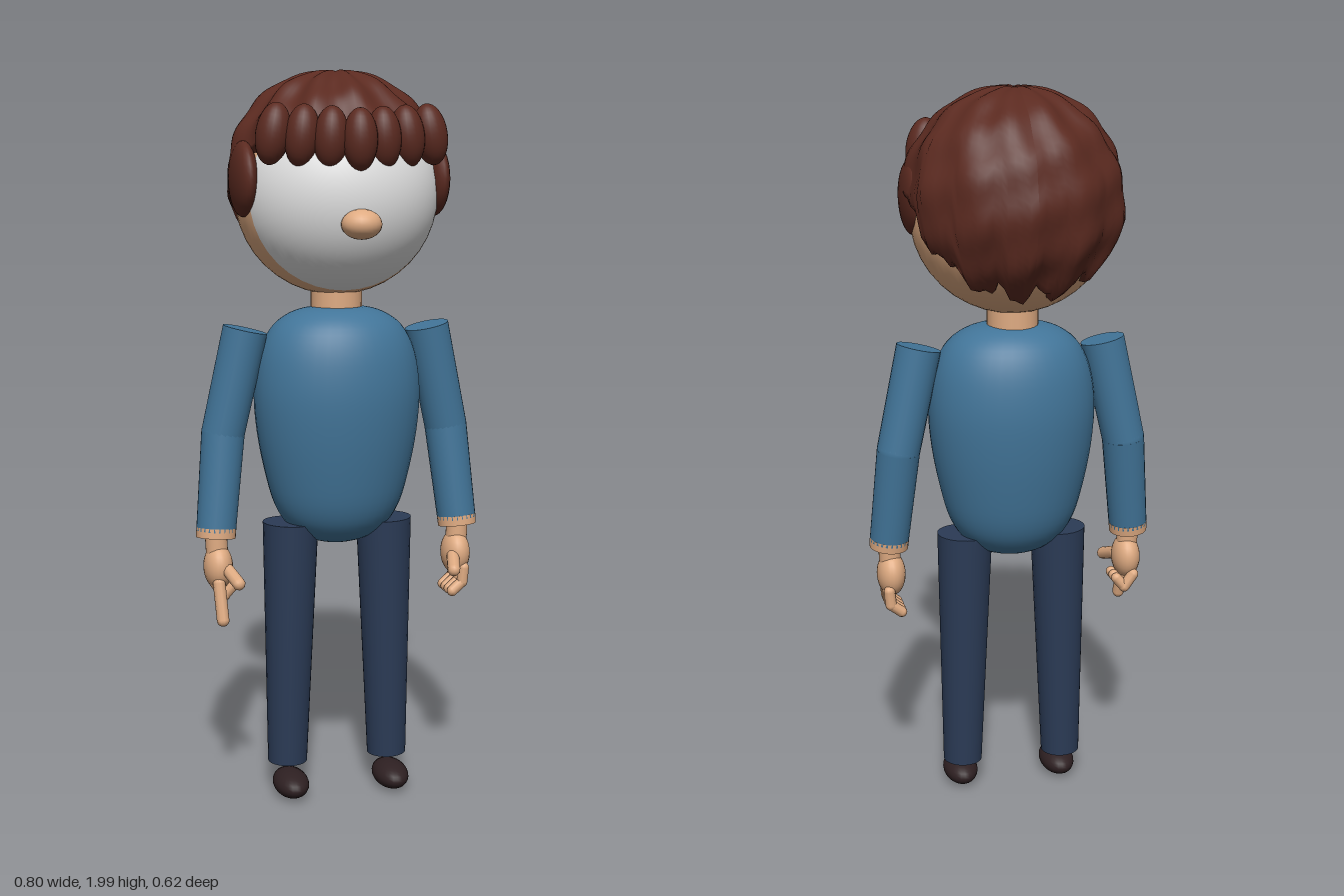
import * as THREE from 'three';

const mat = (name, color, side = THREE.FrontSide) => {
  const m = new THREE.MeshStandardMaterial({ color, side });
  m.name = name;
  return m;
};

export function createModel() {
  const skin = mat('skin', 0xdfab82);
  const face = mat('white face', 0xe2e2e2);
  const hair = mat('brown hair', 0x5b2a20, THREE.DoubleSide);
  const shirt = mat('blue shirt', 0x427599);
  const denim = mat('navy trousers', 0x2b3b56);
  const shoe = mat('dark shoe', 0x2e2022);
  const root = new THREE.Group();
  root.name = 'standingBoy';

  const add = (name, geo, material, parent = root) => {
    const mesh = new THREE.Mesh(geo, material);
    mesh.name = name;
    parent.add(mesh);
    return mesh;
  };
  const ball = (name, material, pos, radii, parent) => {
    const m = add(name, new THREE.SphereGeometry(1, 24, 16), material, parent);
    m.position.set(...pos);
    m.scale.set(...radii);
    return m;
  };
  // Tapered round limb between two points
  const limb = (name, material, a, b, ra, rb, parent) => {
    const from = new THREE.Vector3(...a), to = new THREE.Vector3(...b);
    const dir = to.clone().sub(from);
    const m = add(name, new THREE.CylinderGeometry(rb, ra, dir.length(), 24), material, parent);
    m.position.copy(from).add(to).multiplyScalar(0.5);
    m.quaternion.setFromUnitVectors(new THREE.Vector3(0, 1, 0), dir.normalize());
    return m;
  };
  const finger = (name, a, b, r, parent) => {
    const from = new THREE.Vector3(...a), to = new THREE.Vector3(...b);
    const dir = to.clone().sub(from);
    const m = add(name, new THREE.CapsuleGeometry(r, dir.length(), 5, 10), skin, parent);
    m.position.copy(from).add(to).multiplyScalar(0.5);
    m.quaternion.setFromUnitVectors(new THREE.Vector3(0, 1, 0), dir.normalize());
  };

  // Head: front cap is white, the rest is skin
  const split = 1.215;
  const headPart = (name, material, start, length) => {
    const geo = new THREE.SphereGeometry(1, 40, 20, 0, Math.PI * 2, start, length);
    geo.rotateX(Math.PI / 2);
    const m = add(name, geo, material);
    m.position.set(0, 1.67, 0);
    m.scale.set(0.275, 0.27, 0.26);
  };
  headPart('facePanel', face, 0, split);
  headPart('head', skin, split, Math.PI - split);
  ball('nose', skin, [0, 1.597, 0.26], [0.053, 0.039, 0.05]);
  limb('neck', skin, [0, 1.33, 0], [0, 1.46, 0], 0.07, 0.07);

  // Hair shell: hairline is high in front, falls to the nape at the back
  const line = [[0, 1.2], [0.75, 1.22], [1.25, 1.35], [1.6, 1.55], [1.95, 1.85], [2.25, 2.25], [2.6, 2.5], [3.15, 2.58]];
  const hairline = (a) => {
    const i = Math.max(1, line.findIndex((p) => p[0] >= a));
    const [a0, t0] = line[i - 1], [a1, t1] = line[i];
    return THREE.MathUtils.lerp(t0, t1, (a - a0) / (a1 - a0));
  };
  const hairGeo = new THREE.SphereGeometry(1, 96, 36);
  const pos = hairGeo.attributes.position, uv = hairGeo.attributes.uv;
  for (let i = 0; i < pos.count; i++) {
    const row = Math.round((1 - uv.getY(i)) * 36) / 36;
    const col = Math.round(uv.getX(i) * 96) % 96;
    const az = (col / 96) * Math.PI * 2 - Math.PI;
    const side = Math.abs(az);
    const rag = (0.1 * Math.sin(az * 13) + 0.06 * Math.sin(az * 29)) * THREE.MathUtils.smoothstep(side, 1.4, 2);
    const th = row * (hairline(side) + rag);
    const ridges = Math.sin(az * 11 + 1.3 * Math.sin(th * 3)) * 0.022 * Math.min(1, th * 1.6);
    const clumps = Math.sin(az * 7 + th * 6) * Math.sin(th * 8 - az * 3) * 0.024 * Math.min(1, th);
    const tuck = row > 0.96 ? 0.91 : 1;
    const r = (1 + ridges + clumps) * tuck * (1 - 0.025 * Math.exp(-th * 9));
    const back = Math.cos(az) < 0 ? 0.288 : 0.275;
    pos.setXYZ(i,
      Math.sin(az) * Math.sin(th) * r * 0.292,
      1.7 + Math.cos(th) * r * 0.298,
      -0.012 + Math.cos(az) * Math.sin(th) * r * back);
  }
  hairGeo.computeVertexNormals();
  add('hair', hairGeo, hair);

  // Row of curls over the forehead
  for (let i = -3; i <= 3; i++) {
    const k = Math.abs(i);
    const curl = ball('fringeCurl', hair, [i * 0.07, 1.81 + k * 0.005, 0.245 - k * 0.025], [0.045, 0.08, 0.045]);
    curl.rotation.z = i * 0.06;
  }

  // Torso: rounded egg, flattened front to back
  const outline = [[0, 0.715], [0.05, 0.72], [0.1, 0.738], [0.145, 0.775], [0.177, 0.83], [0.2, 0.91], [0.22, 1.01],
    [0.23, 1.11], [0.226, 1.19], [0.21, 1.26], [0.18, 1.315], [0.135, 1.35], [0.08, 1.367], [0, 1.37]]
    .map(([x, y]) => new THREE.Vector2(x, y));
  const smooth = new THREE.SplineCurve(outline).getPoints(40);
  smooth.forEach((p) => { p.x = Math.max(0, p.x); });
  const torso = add('torso', new THREE.LatheGeometry(smooth, 40), shirt);
  torso.scale.z = 0.79;
  torso.position.z = 0.01;

  for (const s of [1, -1]) {
    const tag = s > 0 ? 'left' : 'right';

    // Sleeve with a slight elbow bend, and the wrist showing under the cuff
    const arm = new THREE.Group();
    arm.name = tag + 'Arm';
    root.add(arm);
    limb('upperSleeve', shirt, [s * 0.255, 1.312, 0.01], [s * 0.317, 1.03, 0], 0.061, 0.059, arm);
    ball('elbow', shirt, [s * 0.317, 1.03, 0], [0.059, 0.059, 0.059], arm);
    limb('lowerSleeve', shirt, [s * 0.317, 1.03, 0], [s * 0.344, 0.765, 0.027], 0.059, 0.054, arm);
    limb('wristBand', skin, [s * 0.343, 0.775, 0.026], [s * 0.345, 0.748, 0.029], 0.0545, 0.0535, arm);

    // Hand: relaxed on the left, index finger extended on the right
    const hand = new THREE.Group();
    hand.name = tag + 'Hand';
    root.add(hand);
    limb('wrist', skin, [s * 0.345, 0.76, 0.028], [s * 0.342, 0.69, 0.03], 0.03, 0.03, hand);
    ball('palm', skin, [s * 0.34, 0.668, 0.03], [0.04, 0.063, 0.056], hand);
    finger('thumb', [s * 0.32, 0.665, 0.07], [s * 0.303, 0.642, 0.132], 0.018, hand);
    for (let i = 0; i < 4; i++) {
      const z = 0.07 - i * 0.028;
      if (s < 0 && i === 0) {
        finger('indexFinger', [-0.345, 0.63, z], [-0.34, 0.533, z + 0.025], 0.017, hand);
      } else if (s < 0) {
        finger('curledFinger', [-0.35, 0.625, z], [-0.325, 0.59, z], 0.016, hand);
        finger('curledFingertip', [-0.325, 0.59, z], [-0.303, 0.615, z + 0.005], 0.015, hand);
      } else {
        finger('finger', [0.352, 0.63, z], [0.348, 0.59, z], 0.016, hand);
        finger('fingertip', [0.348, 0.59, z], [0.318, 0.566, z + 0.004], 0.015, hand);
      }
    }

    // Trouser leg and shoe
    limb('trouserLeg', denim, [s * 0.133, 0.778, 0.013], [s * 0.145, 0.09, 0.012], 0.077, 0.055);
    ball('shoe', shoe, [s * 0.145, 0.038, 0.053], [0.049, 0.037, 0.083]);

    // Puff of hair in front of each ear
    ball('sideburn', hair, [s * 0.262, 1.71, 0.035], [0.035, 0.1, 0.104]);
  }
  return root;
}
